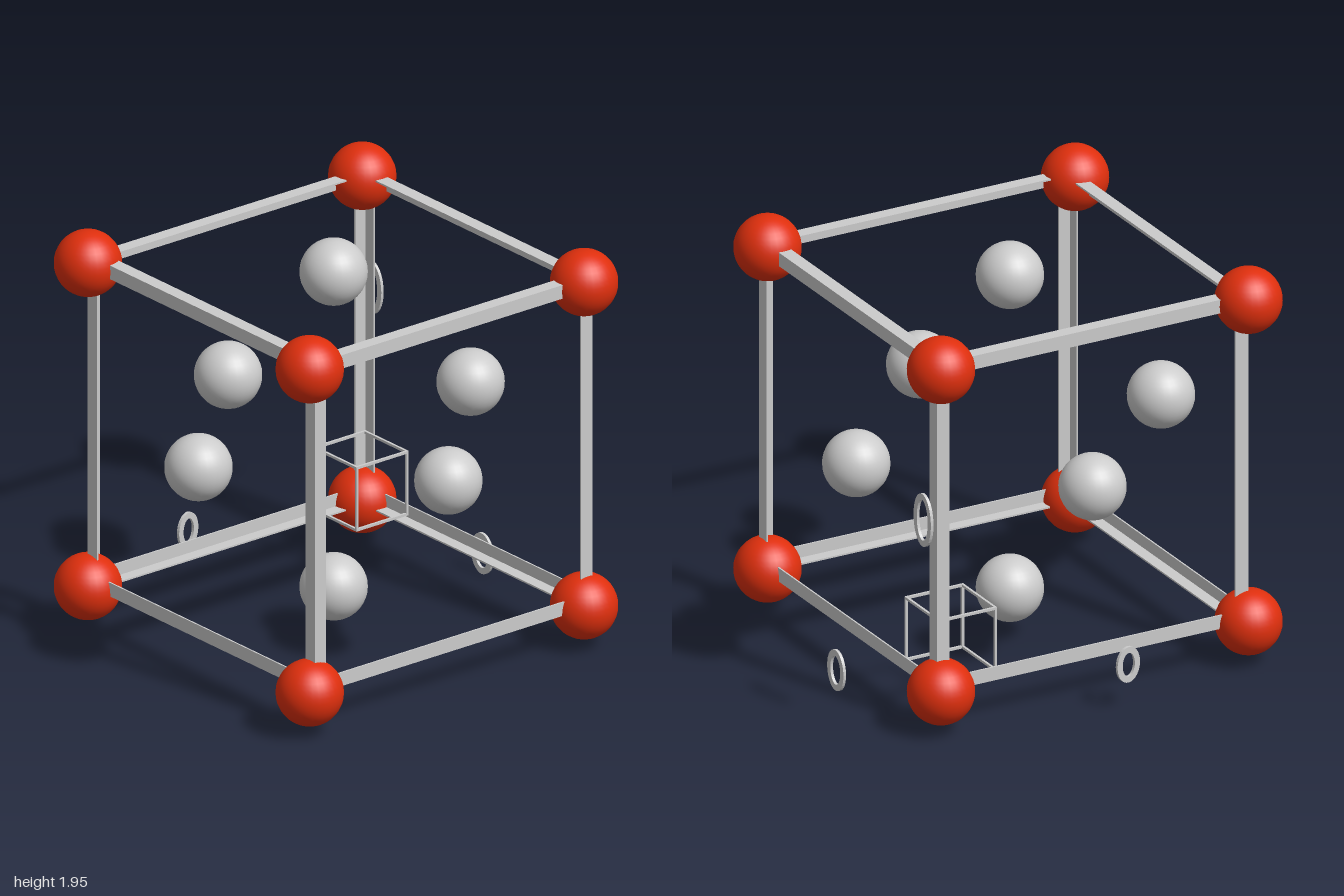
import * as THREE from 'three';

const grey = new THREE.MeshStandardMaterial({ color: 0xcccccc });
const red = new THREE.MeshStandardMaterial({ color: 0xdf2f0d });

// Outer limits of the cell on each axis
const MIN = [-0.815, 0.2, -0.775];
const MAX = [0.813, 1.833, 0.86];
const AXES = ['x', 'y', 'z'];

function add(parent, name, geometry, material, position) {
  const mesh = new THREE.Mesh(geometry, material);
  mesh.name = name;
  mesh.position.set(...position);
  parent.add(mesh);
  return mesh;
}

// Box given by its two opposite corners
function addBox(parent, name, lo, hi) {
  const size = lo.map((v, i) => hi[i] - v);
  const mid = lo.map((v, i) => (hi[i] + v) / 2);
  return add(parent, name, new THREE.BoxGeometry(...size), grey, mid);
}

function group(parent, name) {
  const g = new THREE.Group();
  g.name = name;
  parent.add(g);
  return g;
}

// Angle-section beams: two thin plates meeting at the outer edge of the cell
function addFrame(model) {
  const frame = group(model, 'cellFrame');
  const width = 0.067, thick = 0.008;
  for (let axis = 0; axis < 3; axis++) {
    const u = (axis + 1) % 3, v = (axis + 2) % 3;
    for (const highU of [false, true]) for (const highV of [false, true]) {
      const beam = group(frame, AXES[axis] + 'Beam');
      const plate = (du, dv) => {
        const lo = [...MIN], hi = [...MAX];
        if (highU) lo[u] = MAX[u] - du; else hi[u] = MIN[u] + du;
        if (highV) lo[v] = MAX[v] - dv; else hi[v] = MIN[v] + dv;
        addBox(beam, 'beamPlate', lo, hi);
      };
      plate(width, thick);
      plate(thick, width);
    }
  }
}

// Thin wire cube marking the right angles at one corner
function addAngleMarker(model) {
  const marker = group(model, 'angleMarker');
  const lo = [0.484, 0.23, -0.75], hi = [0.79, 0.548, -0.436];
  const origin = [hi[0], lo[1], lo[2]];
  const t = 0.012;
  for (let axis = 0; axis < 3; axis++) {
    const u = (axis + 1) % 3, v = (axis + 2) % 3;
    for (const a of [lo[u], hi[u]]) for (const b of [lo[v], hi[v]]) {
      // edges lying inside the beams are left out
      if (a === origin[u] && b === origin[v]) continue;
      const size = [t, t, t], pos = [0, 0, 0];
      size[axis] = hi[axis] - lo[axis];
      pos[axis] = (hi[axis] + lo[axis]) / 2;
      pos[u] = a + (a === lo[u] ? t / 2 : -t / 2);
      pos[v] = b + (b === lo[v] ? t / 2 : -t / 2);
      add(marker, 'markerWire', new THREE.BoxGeometry(...size), grey, pos);
    }
  }
}

// Flat oval ring standing beside an axis
function addAxisTag(model, name, halfWidth, halfHeight, position, turn) {
  const stroke = 0.03, depth = 0.014;
  const shape = new THREE.Shape().absellipse(0, 0, halfWidth, halfHeight, 0, Math.PI * 2);
  shape.holes.push(new THREE.Path().absellipse(
    0, 0, halfWidth - stroke, halfHeight - stroke, 0, Math.PI * 2));
  const geometry = new THREE.ExtrudeGeometry(shape, { depth, bevelEnabled: false, curveSegments: 16 });
  geometry.translate(0, 0, -depth / 2);
  add(model, name, geometry, grey, position).rotation.y = turn;
}

export function createModel() {
  const model = new THREE.Group();
  model.name = 'faceCentredCubicCell';
  const ball = new THREE.SphereGeometry(0.156, 32, 20);

  // Corner atoms
  const corners = group(model, 'cornerAtoms');
  for (const x of [-0.82, 0.787])
    for (const y of [0.203, 1.798])
      for (const z of [-0.767, 0.83]) add(corners, 'cornerAtom', ball, red, [x, y, z]);

  // Face atoms
  const faces = group(model, 'faceAtoms');
  const facePositions = [
    [-0.017, 1.797, 0.015], [-0.017, 0.244, 0.015],
    [-0.8, 1.038, 0.004], [0.787, 1.038, 0.013],
    [-0.017, 1.038, 0.841], [-0.017, 1.038, -0.745],
  ];
  for (const p of facePositions) add(faces, 'faceAtom', ball, grey, p);

  addFrame(model);
  addAngleMarker(model);

  // Plain tags beside the three axes
  addAxisTag(model, 'depthAxisTag', 0.075, 0.1, [0.965, 0.1, -0.12], Math.PI / 2);
  addAxisTag(model, 'heightAxisTag', 0.08, 0.13, [0.965, 1.15, -0.92], Math.PI / 2);
  addAxisTag(model, 'widthAxisTag', 0.065, 0.088, [-0.083, 0.22, -0.955], 0.15);
  return model;
}
